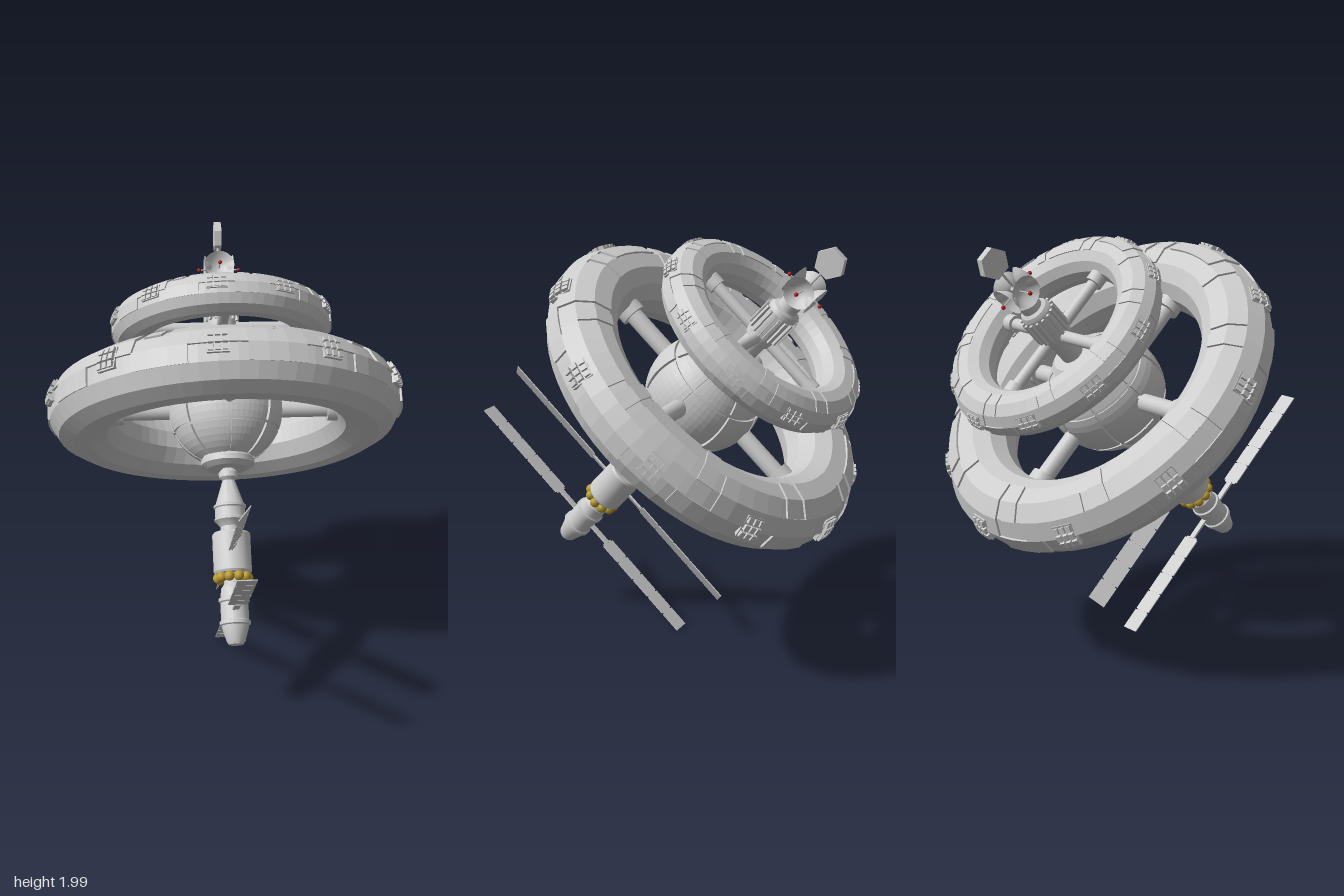
import * as THREE from 'three';
import { toCreasedNormals } from 'three/addons/utils/BufferGeometryUtils.js';

const D = Math.PI / 180;
const grey = new THREE.MeshStandardMaterial({ color: 0xcccccc });
const flat = new THREE.MeshStandardMaterial({ color: 0xcccccc, flatShading: true });
const thin = new THREE.MeshStandardMaterial({ color: 0xcccccc, side: THREE.DoubleSide });
const gold = new THREE.MeshStandardMaterial({ color: 0xb8982f });
const red = new THREE.MeshStandardMaterial({ color: 0xb01818 });

function add(parent, name, geo, mat = grey, x = 0, y = 0, z = 0) {
  const m = new THREE.Mesh(geo, mat);
  m.name = name;
  m.position.set(x, y, z);
  parent.add(m);
  return m;
}

function group(parent, name) {
  const g = new THREE.Group();
  g.name = name;
  parent.add(g);
  return g;
}

// Turned part about the y axis; profile runs from bottom to top as [radius, y]
function turned(profile, seg = 24) {
  const pts = profile.map(([r, y]) => new THREE.Vector2(r, y));
  return toCreasedNormals(new THREE.LatheGeometry(pts, seg), 0.5);
}

// Curved slab on a torus (or on a sphere when R = 0); angles in degrees
function slab(R, r, a0, a1, b0, b1, lo, hi, stepA = 6, stepB = 30) {
  const nA = Math.max(1, Math.round((a1 - a0) / stepA));
  const nB = Math.max(1, Math.round((b1 - b0) / stepB));
  const geo = new THREE.BoxGeometry(1, 1, 1, nA, nB, 1);
  const p = geo.attributes.position;
  for (let i = 0; i < p.count; i++) {
    const a = (a0 + (a1 - a0) * (p.getX(i) + 0.5)) * D;
    const b = (b0 + (b1 - b0) * (p.getY(i) + 0.5)) * D;
    const rho = r + (p.getZ(i) > 0 ? hi : lo);
    const q = R + rho * Math.cos(b);
    p.setXYZ(i, q * Math.cos(a), rho * Math.sin(b), -q * Math.sin(a));
  }
  geo.computeVertexNormals();
  return geo;
}

// Habitat ring with raised hull plates, vent blocks and four spokes
function habitatRing(parent, name, y, R, r, spokeR, hubR) {
  const g = group(parent, name);
  g.position.y = y;
  const section = [];
  for (let i = 0; i <= 12; i++) {
    const b = (15 + 30 * i) * D;
    section.push(new THREE.Vector2(R + r * Math.cos(b), r * Math.sin(b)));
  }
  add(g, 'ringHull', new THREE.LatheGeometry(section, 60), flat);

  const t = r * 0.06;
  for (let k = 0; k < 10; k++) {
    const a = -24 + 36 * k;
    add(g, 'upperPlate', slab(R, r, a - 15, a + 9, 15, k % 2 ? 105 : 75, -t, t), flat);
    add(g, 'innerPlate', slab(R, r, a + 12, a + 18, 45, 105, -t, t), flat);
    add(g, 'rimPlate', slab(R, r, a + 9, a + 27, -15, k % 2 ? 15 : 45, -t, t), flat);
    // Vent block with a grid of small cells
    const v = group(g, 'ventBlock');
    const w = 0.05 / (R + r) / D;
    add(v, 'ventBase', slab(R, r, a - w, a + w, -2, 36, -t, t * 1.5), flat);
    for (let i = 0; i < 3; i++) for (let j = 0; j < 3; j++) {
      const ca = a + (i - 1) * w * 0.64, cb = 17 + (j - 1) * 12;
      add(v, 'ventCell', slab(R, r, ca - w * 0.24, ca + w * 0.24, cb - 4.5, cb + 4.5, 0, t * 2.4), flat);
    }
  }

  const end = R - r * 0.85, len = end - hubR;
  for (let k = 0; k < 4; k++) {
    const s = group(g, 'spoke');
    s.rotation.y = k * Math.PI / 2;
    const tube = add(s, 'spokeTube', new THREE.CylinderGeometry(spokeR, spokeR, len, 16), grey, hubR + len / 2);
    tube.rotation.z = Math.PI / 2;
    const collar = add(s, 'spokeCollar', turned([
      [0, -0.03], [spokeR * 1.2, -0.03], [spokeR * 1.5, -0.02], [spokeR * 1.5, 0.03], [0, 0.03]], 16), grey, end - 0.03);
    collar.rotation.z = Math.PI / 2;
  }
  return g;
}

// Central sphere with raised gores
function coreSphere(parent) {
  const g = group(parent, 'coreSphere');
  add(g, 'innerSphere', new THREE.SphereGeometry(0.268, 48, 24));
  for (let k = 0; k < 8; k++) {
    const a = k * 45 + 2;
    for (const [b0, b1] of [[-62, -26], [-23, 23], [26, 62]])
      add(g, 'gorePlate', slab(0, 0.27, a, a + 41, b0, b1, -0.01, 0.01, 6, 7), flat);
  }
  add(g, 'bottomFlange', turned([[0, -0.3], [0.1, -0.3], [0.13, -0.28], [0.13, -0.255], [0.12, -0.24]]));
  add(g, 'topFlange', turned([[0.13, 0.23], [0.13, 0.265], [0.1, 0.29], [0, 0.29]]));
}

// Pair of segmented solar wings reaching out along z
function solarWings(parent, y, inner, outer, twist) {
  const g = group(parent, 'solarWings');
  g.position.y = y;
  g.rotation.z = twist;
  const n = 5, step = (outer - inner) / n;
  for (const side of [-1, 1]) {
    const arm = add(g, 'wingArm', new THREE.BoxGeometry(0.03, 0.01, inner), grey, 0, 0, side * inner / 2);
    arm.name = 'wingArm';
    for (let i = 0; i < n; i++) {
      const z = side * (inner + step * (i + 0.5));
      add(g, 'wingPanel', new THREE.BoxGeometry(0.09, 0.005, step - 0.006), grey, 0, 0, z);
      add(g, 'wingHinge', new THREE.BoxGeometry(0.07, 0.003, 0.012), grey, 0, 0, z - side * step / 2);
    }
  }
}

// Four-way dish cluster
function dishCluster(parent, y) {
  const g = group(parent, 'dishCluster');
  g.position.y = y;
  const bowl = [];
  for (let i = 0; i <= 6; i++) {
    const r = 0.074 * i / 6;
    bowl.push(new THREE.Vector2(r, 0.025 + 8.5 * r * r));
  }
  for (let k = 0; k < 4; k++) {
    const arm = group(g, 'dish');
    arm.rotation.set(0, k * Math.PI / 2, -Math.PI / 2);
    add(arm, 'dishBowl', new THREE.LatheGeometry(bowl, 20), thin);
    add(arm, 'dishMast', new THREE.CylinderGeometry(0.003, 0.003, 0.1, 6), grey, 0, 0.05);
    add(arm, 'dishFeed', new THREE.SphereGeometry(0.01, 10, 8), red, 0, 0.1);
  }
}

export function createModel() {
  const root = new THREE.Group();
  root.name = 'spaceStation';
  const st = group(root, 'station');
  st.position.set(0, 1.251, -0.243);
  st.rotation.set(-42.3 * D, 0, -0.02);

  habitatRing(st, 'largeRing', 0, 0.7, 0.163, 0.042, 0.24);
  habitatRing(st, 'smallRing', 0.43, 0.445, 0.1, 0.028, 0.05);
  coreSphere(st);

  // Upper column, fluted hub and mast
  add(st, 'upperColumn', new THREE.CylinderGeometry(0.055, 0.055, 0.2, 24), grey, 0, 0.36);
  add(st, 'upperHub', turned([[0, 0.41], [0.07, 0.41], [0.075, 0.43], [0.075, 0.59], [0.065, 0.61],
    [0.05, 0.62], [0.05, 0.66], [0.03, 0.68], [0.018, 0.69], [0.018, 0.76], [0, 0.77]]));
  for (let k = 0; k < 16; k++) {
    const a = k * Math.PI / 8;
    const rib = add(st, 'hubRib', new THREE.BoxGeometry(0.018, 0.13, 0.014), grey,
      0.078 * Math.cos(a), 0.52, -0.078 * Math.sin(a));
    rib.rotation.y = a;
  }
  dishCluster(st, 0.74);
  add(st, 'antennaMast', new THREE.CylinderGeometry(0.006, 0.006, 0.16, 8), grey, 0, 0.82);
  const hex = add(st, 'hexPanel', new THREE.CylinderGeometry(0.074, 0.074, 0.035, 6), flat, 0, 0.92);
  hex.rotation.z = Math.PI / 2;

  // Docking neck and tapered module
  add(st, 'dockingModule', turned([[0, -0.63], [0.05, -0.63], [0.05, -0.59], [0.07, -0.565], [0.078, -0.56],
    [0.078, -0.55], [0.073, -0.545], [0.073, -0.5], [0.079, -0.495], [0.079, -0.485], [0.07, -0.48],
    [0.036, -0.375], [0.03, -0.36], [0.047, -0.345], [0.047, -0.32], [0.03, -0.3], [0.03, -0.27]]));

  // Service drum with a ring of tanks
  add(st, 'serviceDrum', turned([[0, -0.82], [0.085, -0.82], [0.092, -0.81], [0.092, -0.63], [0.085, -0.62], [0, -0.62]]));
  for (let k = 0; k < 10; k++) {
    const a = k * Math.PI / 5;
    add(st, 'tank', new THREE.SphereGeometry(0.025, 14, 10), gold, 0.072 * Math.cos(a), -0.84, 0.072 * Math.sin(a));
  }

  // Tail module
  add(st, 'tailModule', turned([[0, -1.16], [0.035, -1.16], [0.045, -1.145], [0.064, -1.08], [0.066, -1.07],
    [0.074, -1.065], [0.074, -1.05], [0.067, -1.045], [0.067, -0.96], [0.074, -0.955], [0.074, -0.94],
    [0.066, -0.935], [0.06, -0.89], [0.045, -0.87], [0.045, -0.81]]));

  solarWings(st, -0.71, 0.18, 0.765, 50 * D);
  solarWings(st, -1.0, 0.18, 0.745, 0);
  return root;
}
